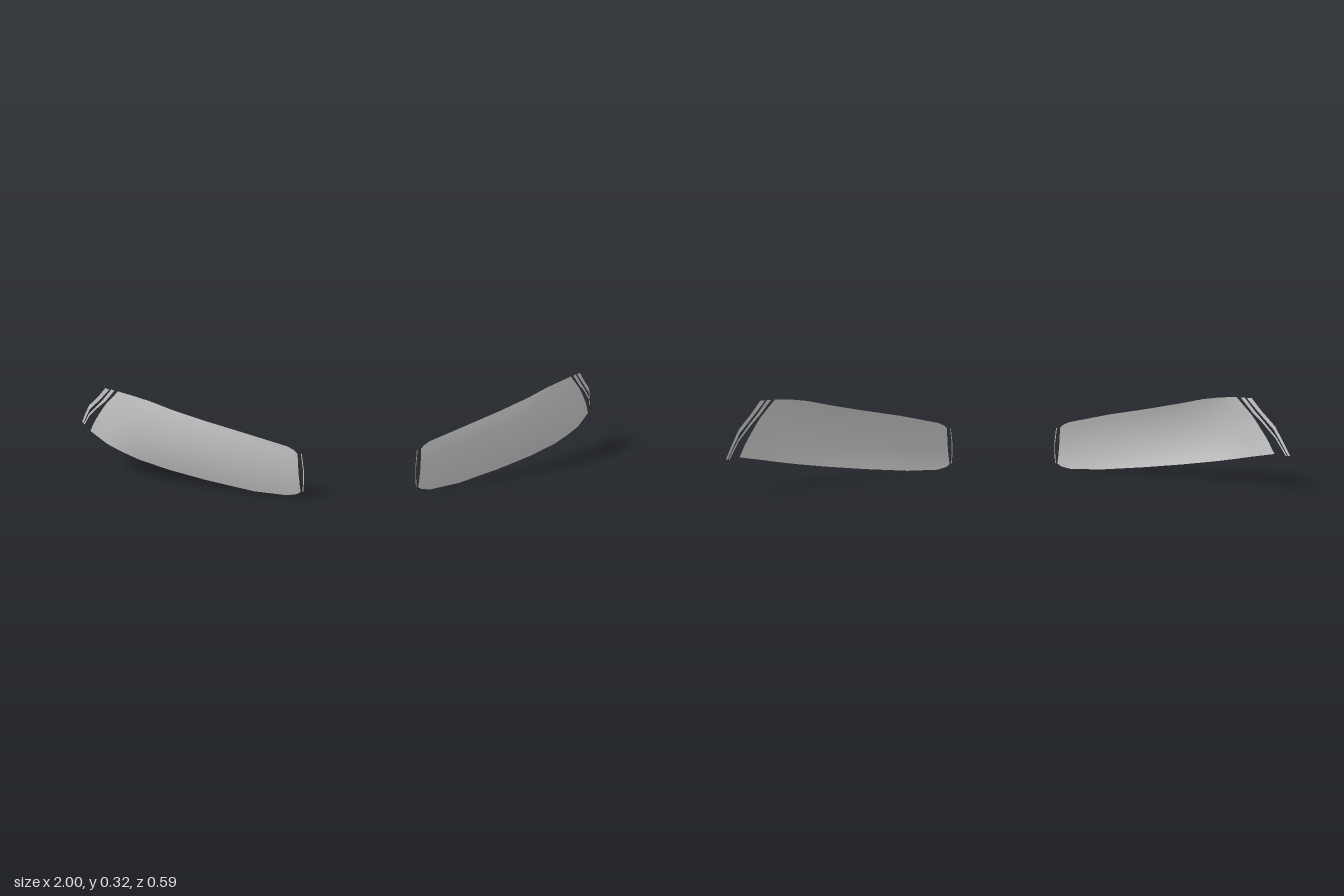
import * as THREE from 'three';

// Plan curve shared by every part: [z, x] from the inner end to the outer tip
const PLAN = [
  [0.296, 0.2], [0.29, 0.205], [0.27, 0.25], [0.21, 0.4], [0.11, 0.6], [0.055, 0.7], [-0.01, 0.8],
  [-0.053, 0.85], [-0.1, 0.9], [-0.16, 0.945], [-0.195, 0.965], [-0.265, 0.99], [-0.295, 1],
];
function planX(z) {
  let i = 0;
  while (i < PLAN.length - 2 && z < PLAN[i + 1][0]) i++;
  const [z0, x0] = PLAN[i], [z1, x1] = PLAN[i + 1];
  return x0 + (x1 - x0) * (z - z0) / (z1 - z0);
}

// Lens columns: [bottom z, bottom y, top z, top y, bulge]
const LENS = [
  [0.287, 0.018, 0.283, 0.16, 0.005], [0.281, 0.008, 0.278, 0.172, 0.006],
  [0.266, 0, 0.268, 0.184, 0.008], [0.22, 0.004, 0.208, 0.221, 0.012],
  [0.14, 0.025, 0.14, 0.25, 0.016], [0.07, 0.046, 0.08, 0.277, 0.018],
  [0, 0.068, 0.03, 0.3, 0.017], [-0.05, 0.084, -0.01, 0.311, 0.013],
  [-0.1, 0.1, -0.035, 0.314, 0.008], [-0.195, 0.124, -0.053, 0.316, 0.002],
];

// Trim strips, rows from top to bottom: [inner z, inner y, outer z, outer y]
const STRIPS = {
  innerTrimStrip: [
    [-0.065, 0.316, -0.077, 0.317], [-0.1, 0.265, -0.11, 0.271], [-0.14, 0.231, -0.146, 0.236],
    [-0.2, 0.181, -0.205, 0.187], [-0.265, 0.128, -0.275, 0.129],
  ],
  outerTrimStrip: [
    [-0.083, 0.316, -0.098, 0.317], [-0.122, 0.27, -0.135, 0.275], [-0.19, 0.211, -0.195, 0.225],
    [-0.235, 0.17, -0.25, 0.175], [-0.28, 0.13, -0.295, 0.131],
  ],
};

// Surface from a grid of points; side -1 mirrors it and keeps it facing out
function gridSurface(rows, side) {
  const n = rows[0].length, pos = [], idx = [];
  rows.forEach(r => r.forEach(([x, y, z]) => pos.push(x * side, y, z)));
  for (let i = 0; i < rows.length - 1; i++) {
    for (let j = 0; j < n - 1; j++) {
      const a = i * n + j, b = a + n, c = b + 1, d = a + 1;
      if (side > 0) idx.push(a, b, c, a, c, d);
      else idx.push(a, c, b, a, d, c);
    }
  }
  const g = new THREE.BufferGeometry();
  g.setAttribute('position', new THREE.Float32BufferAttribute(pos, 3));
  g.setIndex(idx);
  g.computeVertexNormals();
  return g;
}

// Point on the plan curve, pushed outward along its normal
function planPoint(z, y, push = 0) {
  const e = 0.01, dx = planX(z - e) - planX(z + e);
  const len = Math.hypot(dx, 2 * e);
  return [planX(z) + push * 2 * e / len, y, z + push * dx / len];
}

export function createModel() {
  const model = new THREE.Group();
  model.name = 'lensPair';
  const grey = new THREE.MeshStandardMaterial({ color: 0xc8c8c8, side: THREE.DoubleSide });
  grey.name = 'light grey';

  for (const side of [1, -1]) {
    const unit = new THREE.Group();
    unit.name = side > 0 ? 'leftLensUnit' : 'rightLensUnit';
    const add = (name, rows) => {
      const m = new THREE.Mesh(gridSurface(rows, side), grey);
      m.name = name;
      unit.add(m);
    };

    // Main lens, bulging gently between its lower and upper edges
    const STEPS = 10;
    add('lens', LENS.map(([zb, yb, zt, yt, bulge]) =>
      Array.from({ length: STEPS + 1 }, (_, j) => {
        const v = j / STEPS;
        return planPoint(zb + (zt - zb) * v, yb + (yt - yb) * v, bulge * 4 * v * (1 - v));
      })));

    // Two slim trim strips beyond the outer end
    for (const [name, pts] of Object.entries(STRIPS)) {
      const rev = [...pts].reverse();
      add(name, [
        rev.map(([z, y]) => planPoint(z, y)),
        rev.map(([, , z, y]) => planPoint(z, y)),
      ]);
    }

    // Fine sliver along the inner end
    const sliver = [[0.203, 0.02, 0.293], [0.2, 0.06, 0.295], [0.2, 0.1, 0.294], [0.206, 0.16, 0.285]];
    add('innerEdgeSliver', [
      sliver,
      sliver.map(([x, y, z]) => [x + 0.003, y, z - 0.002]),
    ]);
    model.add(unit);
  }
  return model;
}
